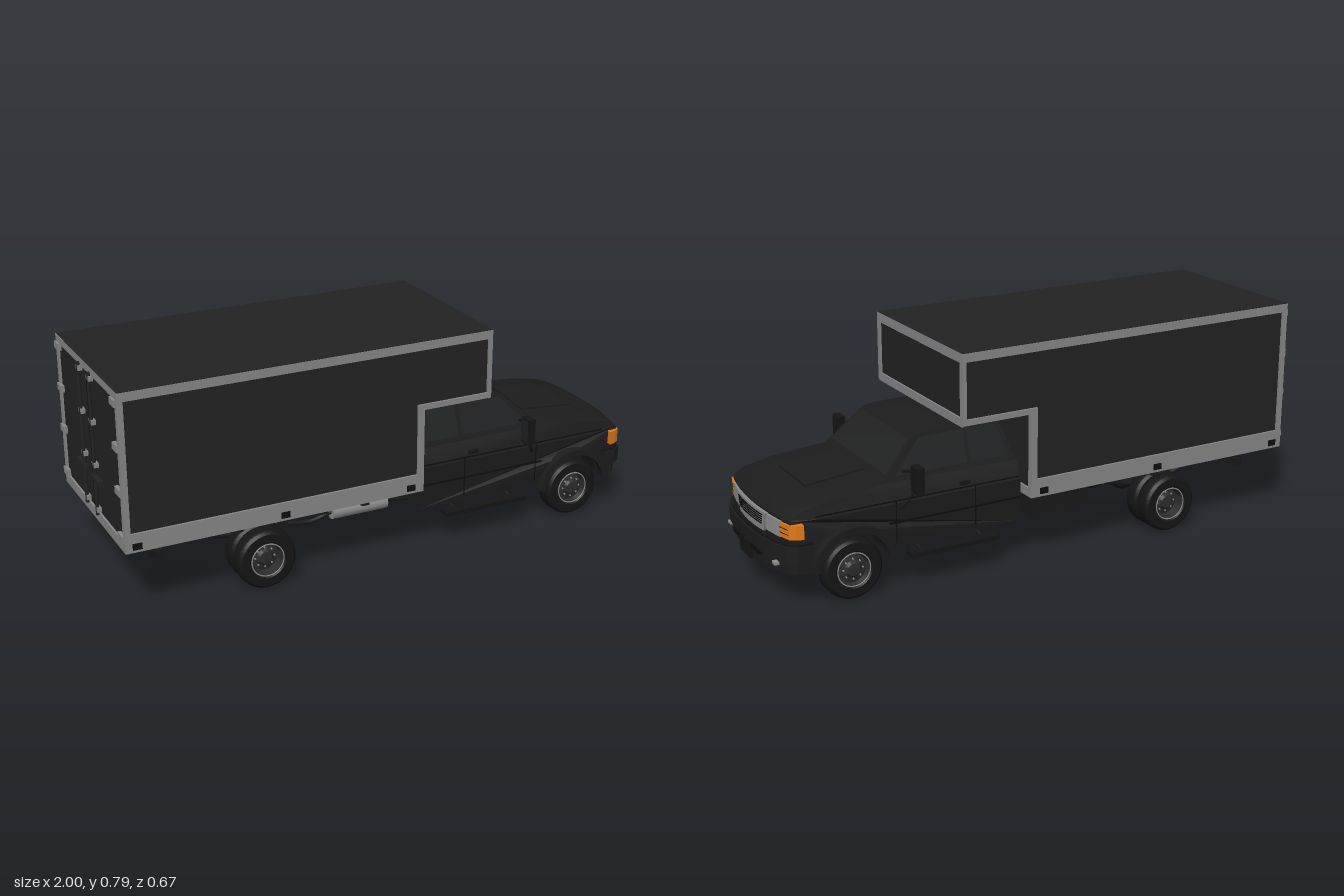
import * as THREE from 'three';
import { toCreasedNormals } from 'three/addons/utils/BufferGeometryUtils.js';

const mat = (name, color, side = THREE.FrontSide) => {
  const m = new THREE.MeshStandardMaterial({ color, side });
  m.name = name;
  return m;
};

export function createModel() {
  const truck = new THREE.Group();
  truck.name = 'boxTruck';
  const paint = mat('blackPaint', 0x1c1c1c), panel = mat('cargoPanel', 0x222222);
  const grey = mat('greyTrim', 0x868688), glass = mat('darkGlass', 0x202122, THREE.DoubleSide);
  const rubber = mat('rubber', 0x151515), under = mat('chassisBlack', 0x191919);
  const amber = mat('amberLens', 0xe07818), rimMat = mat('wheelSteel', 0x2c2c2c);
  const silver = mat('silverMetal', 0x8c8c8c), seam = mat('seamBlack', 0x0e0e0e);

  const add = (name, geo, m, x = 0, y = 0, z = 0) => {
    const mesh = new THREE.Mesh(geo, m);
    mesh.name = name;
    mesh.position.set(x, y, z);
    truck.add(mesh);
    return mesh;
  };
  // box given by its limits on each axis
  const box = (name, m, x0, x1, y0, y1, z0, z1) => add(name,
    new THREE.BoxGeometry(x1 - x0, y1 - y0, z1 - z0), m, (x0 + x1) / 2, (y0 + y1) / 2, (z0 + z1) / 2);
  const poly = pts => new THREE.Shape(pts.map(p => new THREE.Vector2(...p)));
  const extrude = (shape, depth, steps = 1) =>
    new THREE.ExtrudeGeometry(shape, { depth, steps, bevelEnabled: false, curveSegments: 20 });
  // plan outline in x and z, raised from y0 to y1
  const plan = (pts, y0, y1) =>
    extrude(poly(pts.map(([x, z]) => [x, -z])), y1 - y0).rotateX(-Math.PI / 2).translate(0, y0, 0);
  // side outline spread over the width, t from -1 to 1, then shaped by a rule
  const spread = (shape, rule) => {
    const g = extrude(shape, 2, 12).translate(0, 0, -1), p = g.attributes.position;
    for (let i = 0; i < p.count; i++) p.setXYZ(i, ...rule(p.getX(i), p.getY(i), p.getZ(i)));
    return toCreasedNormals(g, 0.5);
  };
  const quad = (name, m, pts) => {
    const g = new THREE.BufferGeometry().setFromPoints(pts.map(p => new THREE.Vector3(...p)));
    g.setIndex([0, 1, 2, 0, 2, 3]);
    g.computeVertexNormals();
    return add(name, g, m);
  };
  const tube = (name, m, pts, r) => add(name, new THREE.TubeGeometry(
    new THREE.CatmullRomCurve3(pts.map(p => new THREE.Vector3(...p))), 16, r, 8), m);
  const cyl = (name, m, r, len, axis, x, y, z) => {
    const g = new THREE.CylinderGeometry(r, r, len, 24);
    if (axis === 'x') g.rotateZ(Math.PI / 2);
    if (axis === 'z') g.rotateX(Math.PI / 2);
    return add(name, g, m, x, y, z);
  };

  // ---- cargo box with overhang above the cab
  const core = poly([[-0.978, 0.245], [0.083, 0.245], [0.083, 0.545], [0.344, 0.545], [0.344, 0.784], [-0.978, 0.784]]);
  add('cargoBody', extrude(core, 0.62).translate(0, 0, -0.31), panel);
  box('cargoRoof', panel, -0.983, 0.349, 0.782, 0.787, -0.316, 0.316);
  const frame = poly([[-0.985, 0.24], [0.09, 0.24], [0.09, 0.54], [0.35, 0.54], [0.35, 0.785], [-0.985, 0.785]]);
  frame.holes.push(poly([[-0.965, 0.305], [0.066, 0.305], [0.066, 0.56], [0.335, 0.56], [0.335, 0.755], [-0.965, 0.755]]));
  // upright rectangular frame facing along x
  const endFrame = (name, x0, x1, y0, y1, low, high) => {
    box(name, grey, x0, x1, y0, low, -0.31, 0.31);
    if (high < y1) box(name, grey, x0, x1, high, y1, -0.31, 0.31);
    for (const s of [-1, 1]) box(name, grey, x0, x1, low, high, s * 0.304 - 0.007, s * 0.304 + 0.007);
  };
  endFrame('overhangFrame', 0.343, 0.35, 0.535, 0.785, 0.565, 0.752);
  endFrame('bulkheadFrame', 0.082, 0.09, 0.24, 0.54, 0.272, 0.54);
  endFrame('doorFrame', -0.985, -0.977, 0.24, 0.785, 0.275, 0.76);
  for (const s of [-1, 1]) {
    add('sideFrame', extrude(frame, 0.008).translate(0, 0, s * 0.314 - 0.004), grey);
    for (const x of [-0.945, -0.43, 0.04])
      box('sideMarker', seam, x - 0.016, x + 0.016, 0.25, 0.272, s * 0.318 - 0.003, s * 0.318 + 0.003);
    // rear doors: locking bars, hinges and handles
    cyl('lockBar', panel, 0.006, 0.5, 'y', -0.99, 0.52, s * 0.055);
    for (const y of [0.29, 0.45, 0.6, 0.75]) {
      box('barGuide', grey, -0.994, -0.979, y - 0.008, y + 0.008, s * 0.055 - 0.014, s * 0.055 + 0.014);
      box('doorHinge', grey, -0.993, -0.98, y - 0.012, y + 0.012, s * 0.29 - 0.022, s * 0.29 + 0.022);
    }
    box('doorHandle', panel, -1, -0.984, 0.4, 0.414, s * 0.08 - 0.04, s * 0.08 + 0.04);
  }
  box('doorGap', seam, -0.981, -0.977, 0.275, 0.76, -0.003, 0.003);

  // ---- cab and nose
  const width = x => 0.272 - 0.022 * Math.max(0, (x - 0.85) / 0.12) ** 1.5;
  const bend = (x, t) => x - 0.03 * t * t * Math.max(0, (x - 0.8) / 0.17);
  const lower = new THREE.Shape();
  lower.moveTo(0.105, 0.145);
  lower.lineTo(0.61, 0.14);
  lower.absarc(0.735, 0.11, 0.128, Math.PI - 0.2366, 0.2366, true);
  for (const p of [[0.95, 0.14], [0.97, 0.2], [0.968, 0.3], [0.85, 0.3], [0.105, 0.3]]) lower.lineTo(...p);
  add('lowerBody', spread(lower, (x, y, t) => [bend(x, t), y, t * (width(x) - Math.max(0, 0.2 - y) * 0.12)]), paint);
  const hood = poly([[0.105, 0.3], [0.85, 0.3], [0.968, 0.3], [0.955, 0.317], [0.925, 0.337], [0.8, 0.357], [0.6, 0.375], [0.105, 0.372]]);
  add('hoodAndShoulders', spread(hood, (x, y, t) => [bend(x, t), y - (y > 0.31 ? 0.012 * t ** 4 : 0),
    t * (width(x) - Math.max(0, y - 0.31) * 0.5)]), paint);
  const sideZ = y => 0.236 - (y - 0.365) * 0.34;
  const top = poly([[0.106, 0.36], [0.605, 0.36], [0.59, 0.377], [0.475, 0.488], [0.445, 0.503], [0.3, 0.507], [0.165, 0.504], [0.147, 0.488]]);
  add('cabRoofAndPillars', spread(top, (x, y, t) => [x, y - (y > 0.5 ? 0.005 * t ** 4 : 0), t * sideZ(y)]), paint);
  box('engineBay', under, 0.58, 0.9, 0.14, 0.3, -0.17, 0.17);
  const bulge = box('hoodBulge', paint, 0.61, 0.825, 0.362, 0.37, -0.11, 0.11);
  bulge.rotation.z = -0.088;
  quad('windshield', glass, [[0.585, 0.385, 0.215], [0.585, 0.385, -0.215], [0.484, 0.483, -0.182], [0.484, 0.483, 0.182]]);
  quad('rearWindow', glass, [[0.112, 0.39, -0.2], [0.112, 0.39, 0.2], [0.14, 0.475, 0.175], [0.14, 0.475, -0.175]]);

  // curved strip lying on the nose between two z positions
  const noseX = z => 0.972 - 0.031 * (z / 0.25) ** 2;
  const band = (z0, z1, off) => {
    const out = [], back = [];
    for (let i = 0; i <= 8; i++) {
      const z = z0 + (z1 - z0) * i / 8;
      out.push([noseX(z) + off, z]);
      back.unshift([noseX(z) - 0.012, z]);
    }
    return out.concat(back);
  };
  const taper = g => {
    const p = g.attributes.position;
    for (let i = 0; i < p.count; i++) p.setZ(i, p.getZ(i) * (1 - (0.295 - p.getY(i)) * 2.4));
    g.computeVertexNormals();
    return g;
  };
  add('grille', taper(plan(band(-0.125, 0.125, 0.008), 0.228, 0.295)), grey);
  for (let i = 0; i < 5; i++)
    add('grilleSlot', taper(plan(band(-0.108, 0.108, 0.011), 0.251 + i * 0.008, 0.254 + i * 0.008)), seam);

  for (const s of [-1, 1]) {
    const flip = pts => pts.map(([x, z]) => [x, s * z]);
    add('headlamp', plan(flip(band(0.118, 0.206, 0.004)), 0.238, 0.293), silver);
    add('cornerLamp', plan(flip([[0.945, 0.206], [0.956, 0.206], [0.949, 0.235], [0.943, 0.255], [0.925, 0.267],
      [0.9, 0.274], [0.9, 0.25]]), 0.242, 0.291), amber);
    for (const y of [0.257, 0.274])
      add('lampRib', plan(flip([[0.945, 0.207], [0.9575, 0.207], [0.9505, 0.235], [0.945, 0.25], [0.93, 0.24]]), y, y + 0.002), seam);
    // side glass
    const w = (x, y) => [x, y, s * (sideZ(y) + 0.002)];
    quad('doorWindow', glass, [w(0.29, 0.38), w(0.555, 0.38), w(0.455, 0.485), w(0.29, 0.49)]);
    quad('quarterWindow', glass, [w(0.135, 0.38), w(0.275, 0.38), w(0.275, 0.49), w(0.162, 0.485)]);
    // door seams, belt trim and handle
    for (const x of [0.28, 0.575])
      box('doorSeam', seam, x - 0.0015, x + 0.0015, 0.165, 0.31, s * 0.271 - 0.002, s * 0.271 + 0.002);
    box('bodyMolding', seam, 0.11, 0.6, 0.232, 0.238, s * 0.272 - 0.003, s * 0.272 + 0.003);
    box('beltTrim', seam, 0.11, 0.86, 0.308, 0.312, s * 0.271 - 0.002, s * 0.271 + 0.002);
    box('doorHandle', rubber, 0.3, 0.335, 0.318, 0.33, s * 0.267 - 0.006, s * 0.267 + 0.006);
    // wheel arch flare
    const flare = new THREE.Shape();
    flare.absarc(0.735, 0.11, 0.147, 0.1, Math.PI - 0.1, false);
    flare.absarc(0.735, 0.11, 0.126, Math.PI - 0.1, 0.1, true);
    add('wheelArchFlare', extrude(flare, 0.035).translate(0, 0, s * 0.277 - 0.0175), paint);
    // mirror on two arms
    box('mirror', rubber, 0.5, 0.528, 0.337, 0.43, s * 0.31 - 0.024, s * 0.31 + 0.024);
    box('mirrorGlass', glass, 0.497, 0.501, 0.345, 0.422, s * 0.31 - 0.019, s * 0.31 + 0.019);
    tube('mirrorArm', rubber, [[0.56, 0.28, s * 0.268], [0.545, 0.3, s * 0.285], [0.52, 0.345, s * 0.3]], 0.005);
    tube('mirrorArm', rubber, [[0.53, 0.39, s * 0.225], [0.52, 0.4, s * 0.26], [0.515, 0.4, s * 0.3]], 0.005);
    // running board
    box('runningBoard', rubber, 0.2, 0.53, 0.104, 0.12, s * 0.27 - 0.022, s * 0.27 + 0.022);
    for (const x of [0.25, 0.48]) tube('stepBracket', under, [[x, 0.112, s * 0.26], [x, 0.13, s * 0.22], [x, 0.17, s * 0.2]], 0.006);
    box('fogLamp', silver, 0.965, 0.981, 0.147, 0.157, s * 0.2 - 0.012, s * 0.2 + 0.012);
  }

  // ---- front bumper, rounded in plan
  const bumperPlan = (k, x) => [[0.87, -0.276 * k], [0.92, -0.274 * k], [0.955 + x, -0.25 * k], [0.98 + x, -0.19 * k], [0.994 + x, -0.1 * k], [0.998 + x, 0],
    [0.994 + x, 0.1 * k], [0.98 + x, 0.19 * k], [0.955 + x, 0.25 * k], [0.92, 0.274 * k], [0.87, 0.276 * k]];
  add('bumper', plan(bumperPlan(1, 0), 0.165, 0.218), paint);
  add('bumperTopPad', plan(bumperPlan(0.985, -0.007), 0.218, 0.227), rubber);
  add('bumperValance', plan(bumperPlan(0.95, -0.012), 0.118, 0.165), paint);
  box('bumperIntake', seam, 0.975, 0.9975, 0.153, 0.17, -0.115, 0.115);
  box('numberPlate', rubber, 0.99, 1, 0.115, 0.166, -0.048, 0.048);

  // ---- wheels: turned tyre and dished rim
  const lathe = pts => new THREE.LatheGeometry(pts.map(p => new THREE.Vector2(...p)), 40).rotateX(Math.PI / 2);
  const wheel = (x, z, wd, s, dish) => {
    const h = wd / 2;
    add('tyre', toCreasedNormals(lathe([[0.06, -h + 0.006], [0.066, -h], [0.094, -h], [0.103, -h + 0.008], [0.105, -h + 0.016],
      [0.105, h - 0.016], [0.103, h - 0.008], [0.094, h], [0.066, h], [0.06, h - 0.006], [0.06, -h + 0.006]]), 0.6), rubber, x, 0.105, z);
    const rim = add('rim', toCreasedNormals(lathe([[0.001, -h + 0.01], [0.061, -h + 0.01], [0.061, h - 0.002], [0.056, h - 0.002],
      [0.05, h - 0.014 - dish], [0.03, h - 0.008 - dish], [0.022, h + 0.002 - dish], [0.001, h + 0.004 - dish]]), 0.5), rimMat, x, 0.105, z);
    if (s < 0) rim.rotation.y = Math.PI;
    add('rimRing', new THREE.TorusGeometry(0.058, 0.0022, 6, 40), silver, x, 0.105, z + s * (h - 0.002));
    for (let i = 0; i < 8; i++)
      cyl('wheelNut', silver, 0.003, 0.006, 'z', x + 0.035 * Math.cos(i * Math.PI / 4), 0.105 + 0.035 * Math.sin(i * Math.PI / 4), z + s * (h - 0.008 - dish));
  };
  for (const s of [-1, 1]) {
    wheel(0.735, s * 0.245, 0.075, s, 0.004);
    wheel(-0.495, s * 0.283, 0.062, s, 0.022);
    wheel(-0.495, s * 0.212, 0.062, s, 0.022);
  }

  // ---- chassis
  for (const s of [-1, 1]) {
    box('frameRail', under, -0.86, 0.92, 0.19, 0.235, s * 0.11 - 0.015, s * 0.11 + 0.015);
    tube('leafSpring', under, [[-0.73, 0.195, s * 0.15], [-0.6, 0.15, s * 0.15], [-0.495, 0.135, s * 0.15], [-0.4, 0.15, s * 0.15], [-0.27, 0.19, s * 0.15]], 0.011);
    tube('frontSpring', under, [[0.56, 0.17, s * 0.15], [0.735, 0.115, s * 0.15], [0.9, 0.16, s * 0.15]], 0.01);
    box('rearLamp', rubber, -0.875, -0.845, 0.165, 0.205, s * 0.2 - 0.035, s * 0.2 + 0.035);
  }
  for (let i = 0; i < 7; i++) {
    const x = -0.9 + i * 0.155;
    box('floorCrossmember', under, x - 0.014, x + 0.014, 0.222, 0.25, -0.3, 0.3);
  }
  for (const x of [-0.7, -0.3, 0.1, 0.4]) box('frameCrossmember', under, x - 0.02, x + 0.02, 0.195, 0.225, -0.1, 0.1);
  box('rearBeam', under, -0.86, -0.835, 0.165, 0.195, -0.25, 0.25);
  box('towHitch', under, -0.86, -0.78, 0.18, 0.215, -0.05, 0.05);
  cyl('rearAxle', under, 0.02, 0.48, 'z', -0.495, 0.105, 0);
  cyl('frontAxle', under, 0.016, 0.44, 'z', 0.735, 0.11, 0);
  add('rearDifferential', new THREE.SphereGeometry(0.045, 20, 14), under, -0.495, 0.108, 0);
  add('frontDifferential', new THREE.SphereGeometry(0.036, 20, 14), under, 0.735, 0.11, 0.02);
  tube('driveShaft', under, [[-0.46, 0.115, 0], [-0.1, 0.15, 0], [0.3, 0.18, 0]], 0.013);
  box('gearbox', under, 0.24, 0.6, 0.115, 0.2, -0.07, 0.07);
  cyl('muffler', silver, 0.029, 0.21, 'x', -0.1, 0.172, 0.19);
  tube('exhaustPipe', under, [[-0.37, 0.16, 0.19], [-0.28, 0.15, 0.19], [-0.2, 0.172, 0.19]], 0.009);
  tube('exhaustPipe', under, [[0, 0.172, 0.19], [0.12, 0.15, 0.17], [0.4, 0.13, 0.13], [0.6, 0.16, 0.1]], 0.009);
  box('fuelTank', under, -0.17, 0.06, 0.15, 0.225, -0.27, -0.14);
  return truck;
}
